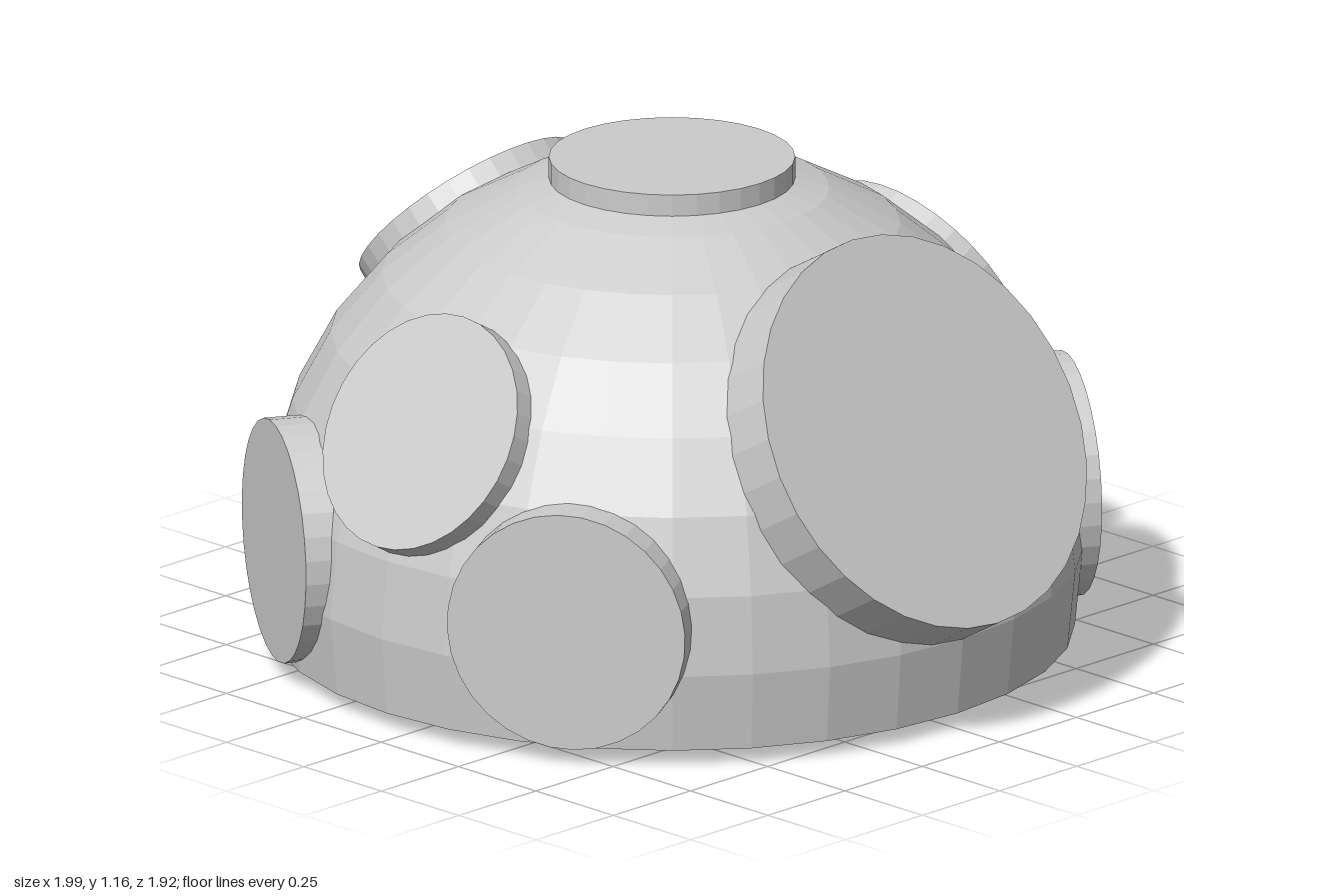
import * as THREE from 'three';

const RADIUS = 0.94;          // dome radius
const REACH = 0.943;          // distance from dome centre to each port's outer face
const CENTRE = new THREE.Vector3(-0.057, 0.225, 0);
const SEGMENTS = 32;

export function createModel() {
  const group = new THREE.Group();
  const material = new THREE.MeshStandardMaterial({ color: 0xcccccc, flatShading: true });

  function add(name, geometry) {
    const mesh = new THREE.Mesh(geometry, material);
    mesh.name = name;
    group.add(mesh);
    return mesh;
  }

  // Dome: a sphere cut one ring below its equator
  const cut = Math.PI * 9 / 16;
  add('dome', new THREE.SphereGeometry(RADIUS, SEGMENTS, 9, 0, Math.PI * 2, 0, cut))
    .position.copy(CENTRE);

  // Flat floor closing the dome
  const floor = add('floor', new THREE.CircleGeometry(RADIUS * Math.sin(cut), SEGMENTS));
  floor.rotation.x = Math.PI / 2;
  floor.position.copy(CENTRE);
  floor.position.y += RADIUS * Math.cos(cut);

  // Round port whose axis points outwards at an azimuth (from +x towards +z) and elevation
  function addPort(name, azimuth, elevation, radius, depth, lift = 0) {
    const a = THREE.MathUtils.degToRad(azimuth);
    const e = THREE.MathUtils.degToRad(elevation);
    const axis = new THREE.Vector3(
      Math.cos(e) * Math.cos(a), Math.sin(e), Math.cos(e) * Math.sin(a));
    const port = add(name, new THREE.CylinderGeometry(radius, radius, depth, SEGMENTS));
    port.quaternion.setFromUnitVectors(new THREE.Vector3(0, 1, 0), axis);
    port.position.copy(CENTRE).addScaledVector(axis, REACH - depth / 2);
    port.position.y += lift;
  }

  // Large port, deep enough to show just under the floor
  addPort('largePort', 0, 30, 0.47, 0.57);

  // Upper ports
  addPort('topPort', 0, 90, 0.282, 0.2);
  addPort('frontUpperPort', 90, 30, 0.282, 0.2);
  addPort('backUpperPort', -90, 30, 0.282, 0.2);
  addPort('rightUpperPort', 180, 45, 0.282, 0.2);

  // Upright ports around the foot, resting on the floor line
  for (let azimuth = 60; azimuth <= 300; azimuth += 60) {
    addPort('lowerPort' + azimuth / 60, azimuth, 0, 0.282, 0.2, 0.098);
  }

  return group;
}
